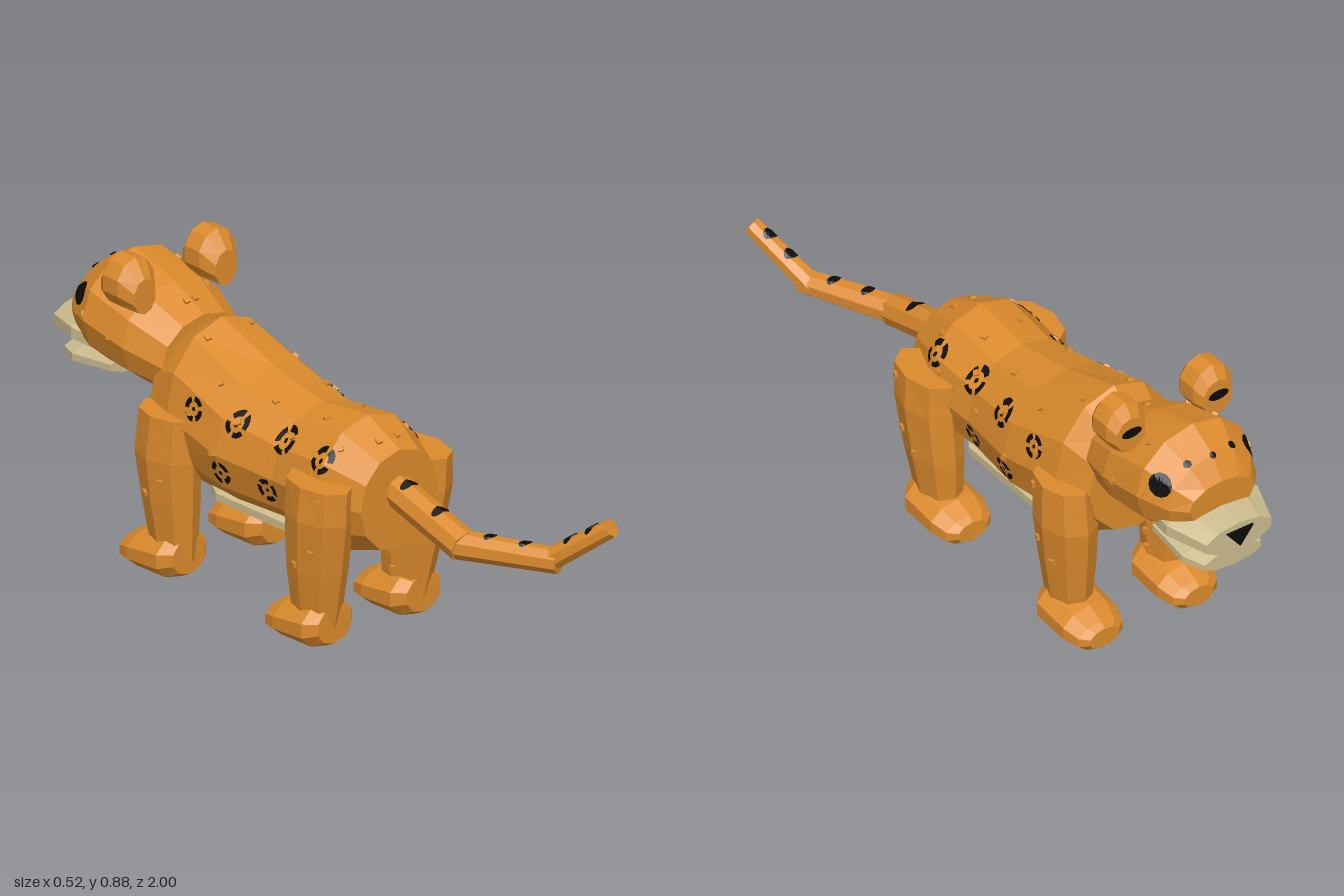
import * as THREE from 'three';

const orange = new THREE.MeshStandardMaterial({ color: 0xdb8a2c });
orange.name = 'orange fur';
const cream = new THREE.MeshStandardMaterial({ color: 0xcbbb8e });
cream.name = 'cream fur';
const black = new THREE.MeshStandardMaterial({ color: 0x0c0c0c, side: THREE.DoubleSide });
black.name = 'black markings';

const V = (x, y, z) => new THREE.Vector3(x, y, z);

// Faceted normals
function facet(geo) {
  const g = geo.index ? geo.toNonIndexed() : geo;
  g.computeVertexNormals();
  return g;
}

// Closed loft through elliptical rings [x, y, z, rx, ry], ordered from +z to -z
function loft(rings, n) {
  const pos = [], idx = [], last = rings.length - 1;
  for (const [x, y, z, rx, ry] of rings) {
    for (let j = 0; j < n; j++) {
      const a = (j / n) * Math.PI * 2;
      pos.push(x + rx * Math.sin(a), y + ry * Math.cos(a), z);
    }
  }
  const c0 = pos.length / 3;
  pos.push(...rings[0].slice(0, 3), ...rings[last].slice(0, 3));
  for (let j = 0; j < n; j++) {
    const k = (j + 1) % n;
    for (let i = 0; i < last; i++) {
      const a = i * n + j, b = i * n + k;
      idx.push(a, b, a + n, b, b + n, a + n);
    }
    idx.push(c0, k, j, c0 + 1, last * n + j, last * n + k);
  }
  const g = new THREE.BufferGeometry();
  g.setAttribute('position', new THREE.Float32BufferAttribute(pos, 3));
  g.setIndex(idx);
  return facet(g);
}

export function createModel() {
  const model = new THREE.Group();
  model.name = 'spottedBigCat';
  const ray = new THREE.Raycaster();

  function add(name, geo, mat = orange) {
    const m = new THREE.Mesh(geo, mat);
    m.name = name;
    model.add(m);
    return m;
  }

  // Drapes a flat patch over a part, seen from direction out
  function marking(name, target, geo, at, out) {
    const dir = out.clone().normalize();
    const q = new THREE.Quaternion().setFromUnitVectors(V(0, 0, 1), dir);
    geo.applyQuaternion(q).translate(at.x + dir.x * 0.5, at.y + dir.y * 0.5, at.z + dir.z * 0.5);
    const p = geo.attributes.position, v = V(0, 0, 0), back = dir.clone().negate();
    let depth = 0.5;
    for (let i = 0; i < p.count; i++) {
      v.fromBufferAttribute(p, i);
      ray.set(v, back);
      const hit = ray.intersectObject(target)[0];
      if (hit) depth = hit.distance;
      v.addScaledVector(back, depth - 0.004);
      p.setXYZ(i, v.x, v.y, v.z);
    }
    add(name, facet(geo), black);
  }
  const spot = (rx, ry) => new THREE.RingGeometry(0.02, 1, 12, 3).scale(rx, ry, 1);

  // Small raised tuft where a ray meets a part
  function tuft(target, at, out) {
    const dir = out.clone().normalize();
    ray.set(at.clone().addScaledVector(dir, 0.6), dir.clone().negate());
    const hit = ray.intersectObject(target)[0];
    if (!hit) return;
    const m = add('furTuft', new THREE.BoxGeometry(0.016, 0.016, 0.016));
    m.position.copy(hit.point);
    m.quaternion.setFromUnitVectors(V(0, 0, 1), hit.face.normal);
  }

  // Body and belly
  const body = add('body', loft([
    [0, 0.435, 0.32, 0.14, 0.15], [0, 0.443, 0.19, 0.19, 0.203], [0, 0.438, 0, 0.185, 0.182],
    [0, 0.452, -0.2, 0.215, 0.203], [0, 0.49, -0.42, 0.2, 0.24], [0, 0.49, -0.53, 0.165, 0.17],
  ], 12));
  add('belly', loft([
    [0, 0.29, 0.12, 0.1, 0.02], [0, 0.285, 0.06, 0.145, 0.037],
    [0, 0.28, -0.28, 0.15, 0.035], [0, 0.28, -0.36, 0.1, 0.02],
  ], 10), cream);

  // Head, muzzle and jaw
  const head = add('head', loft([
    [0, 0.59, -0.495, 0.15, 0.12], [0, 0.622, -0.62, 0.188, 0.148], [0, 0.65, -0.78, 0.19, 0.165],
    [0, 0.638, -0.87, 0.15, 0.125], [0, 0.64, -0.915, 0.11, 0.06],
  ], 12));
  const muzzle = add('muzzle', loft([
    [0, 0.565, -0.79, 0.15, 0.05], [0, 0.572, -0.87, 0.162, 0.054], [0, 0.56, -0.993, 0.115, 0.045],
  ], 10), cream);
  add('lowerJaw', loft([
    [0, 0.495, -0.75, 0.12, 0.03], [0, 0.48, -0.9, 0.13, 0.034], [0, 0.475, -0.965, 0.1, 0.028],
  ], 10), cream);
  const nose = new THREE.Shape([[-0.045, 0.585], [0.045, 0.585], [0, 0.53]].map(([x, y]) => new THREE.Vector2(x, y)));
  add('nose', new THREE.ExtrudeGeometry(nose, { depth: 0.008, bevelEnabled: false }).translate(0, 0, -1), black);
  marking('foreheadSpot', head, spot(0.01, 0.01), V(0, 0.73, -0.85), V(0, 1, -0.7));

  // Paired parts
  for (const s of [1, -1]) {
    const ear = add('ear', loft([
      [s * 0.147, 0.78, -0.57, 0.04, 0.053], [s * 0.147, 0.808, -0.61, 0.068, 0.077],
      [s * 0.147, 0.807, -0.67, 0.068, 0.077], [s * 0.147, 0.79, -0.697, 0.05, 0.056],
    ], 10));
    marking('innerEar', ear, spot(0.034, 0.016), V(s * 0.147, 0.8, -0.69), V(0, 0, -1));
    marking('eye', head, spot(0.036, 0.034), V(s * 0.145, 0.7, -0.83), V(s * 0.7, 0.45, -0.6));
    marking('foreheadSpot', head, spot(0.012, 0.012), V(s * 0.07, 0.73, -0.84), V(s * 0.2, 1, -0.7));

    // Legs: rings run from hip to ankle, then stand upright
    const legs = [
      ['hindLeg', 0, [[0.5, 0.195, 0.115, 0.07], [0.4, 0.192, 0.112, 0.08], [0.24, 0.175, 0.1, 0.073], [0.06, 0.16, 0.075, 0.055]]],
      ['frontLeg', -0.605, [[0.5, -0.43, 0.1, 0.07], [0.37, -0.438, 0.106, 0.08], [0.24, -0.435, 0.092, 0.073], [0.06, -0.43, 0.07, 0.055]]],
    ];
    for (const [name, dz, rings] of legs) {
      const x = [0.18, 0.178, 0.17, 0.16];
      const leg = add(name, loft(rings.map(([y, z, rz, rx], i) => [s * x[i], -z, y, rx, rz]), 8).rotateX(-Math.PI / 2));
      add(name + 'Paw', loft([
        [s * 0.16, 0.078, 0.235, 0.062, 0.055], [s * 0.16, 0.073, 0.2, 0.095, 0.068],
        [s * 0.16, 0.06, 0.08, 0.095, 0.058], [s * 0.16, 0.05, 0.03, 0.078, 0.044],
        [s * 0.16, 0.05, 0.01, 0.05, 0.03],
      ], 10).translate(0, 0, dz));
      for (const [y, z] of [[0.47, 0.06], [0.31, 0.03], [0.26, -0.03]]) {
        tuft(leg, V(s * 0.17, y, rings[0][1] + z), V(s, 0, 0));
      }
      for (const y of [0.15, 0.205]) tuft(leg, V(s * 0.17, y, rings[2][1]), V(-s, 0, 0));
      // Claws
      for (const c of [-0.04, 0, 0.04]) {
        add('claw', new THREE.ConeGeometry(0.006, 0.02, 5).rotateX(-Math.PI / 2)
          .translate(s * 0.16 + c, 0.032, 0.015 + dz), cream);
      }
    }

    // Broken-ring rosettes along the flanks
    const rosettes = [[0.18, 0.55], [0.015, 0.55], [-0.15, 0.55], [-0.315, 0.545], [-0.02, 0.4], [-0.19, 0.4]];
    rosettes.forEach(([z, y], i) => {
      for (let k = 0; k < 4; k++) {
        const arc = new THREE.RingGeometry(0.02, 0.035, 4, 1, k * 1.57 + i * 0.7, 1.15);
        marking('rosette', body, arc, V(0, y, z), V(s, 0, 0));
      }
      marking('rosetteCentre', body, spot(0.006, 0.006), V(0, y, z), V(s, 0, 0));
    });

    // Tufts over back, flanks and head
    for (let i = 0; i < 12; i++) {
      const a = 0.2 + ((i * 0.37) % 1) * 1.4;
      tuft(body, V(0, 0.45, 0.27 - i * 0.06), V(s * Math.sin(a), Math.cos(a), 0));
    }
    for (let i = 0; i < 5; i++) {
      const a = 0.15 + ((i * 0.45) % 1) * 1.6;
      tuft(head, V(0, 0.64, -0.55 - i * 0.06), V(s * Math.sin(a), Math.cos(a), 0));
    }
  }

  // Tail in three straight pieces
  const tailParts = [
    [V(0, 0.47, 0.28), V(0, 0.387, 0.59), 0.047, 0.047],
    [V(-0.005, 0.389, 0.57), V(0.125, 0.392, 0.84), 0.042, 0.036],
    [V(0.115, 0.388, 0.81), V(0.19, 0.522, 0.985), 0.034, 0.027],
  ].map(([a, b, r0, r1]) => {
    const d = b.clone().sub(a), mid = a.clone().add(b).multiplyScalar(0.5);
    const q = new THREE.Quaternion().setFromUnitVectors(V(0, 1, 0), d.clone().normalize());
    const geo = new THREE.CylinderGeometry(r1, r0, d.length(), 8).applyQuaternion(q).translate(mid.x, mid.y, mid.z);
    return add('tail', facet(geo));
  });
  // Bands on top of the tail
  for (const [part, x, z] of [[0, 0, 0.36], [0, 0, 0.49], [1, 0.038, 0.655], [1, 0.083, 0.75], [2, 0.14, 0.87], [2, 0.165, 0.93]]) {
    marking('tailBand', tailParts[part], spot(part ? 0.023 : 0.031, 0.014), V(x, 0.45, z), V(0, 1, 0));
  }
  return model;
}
